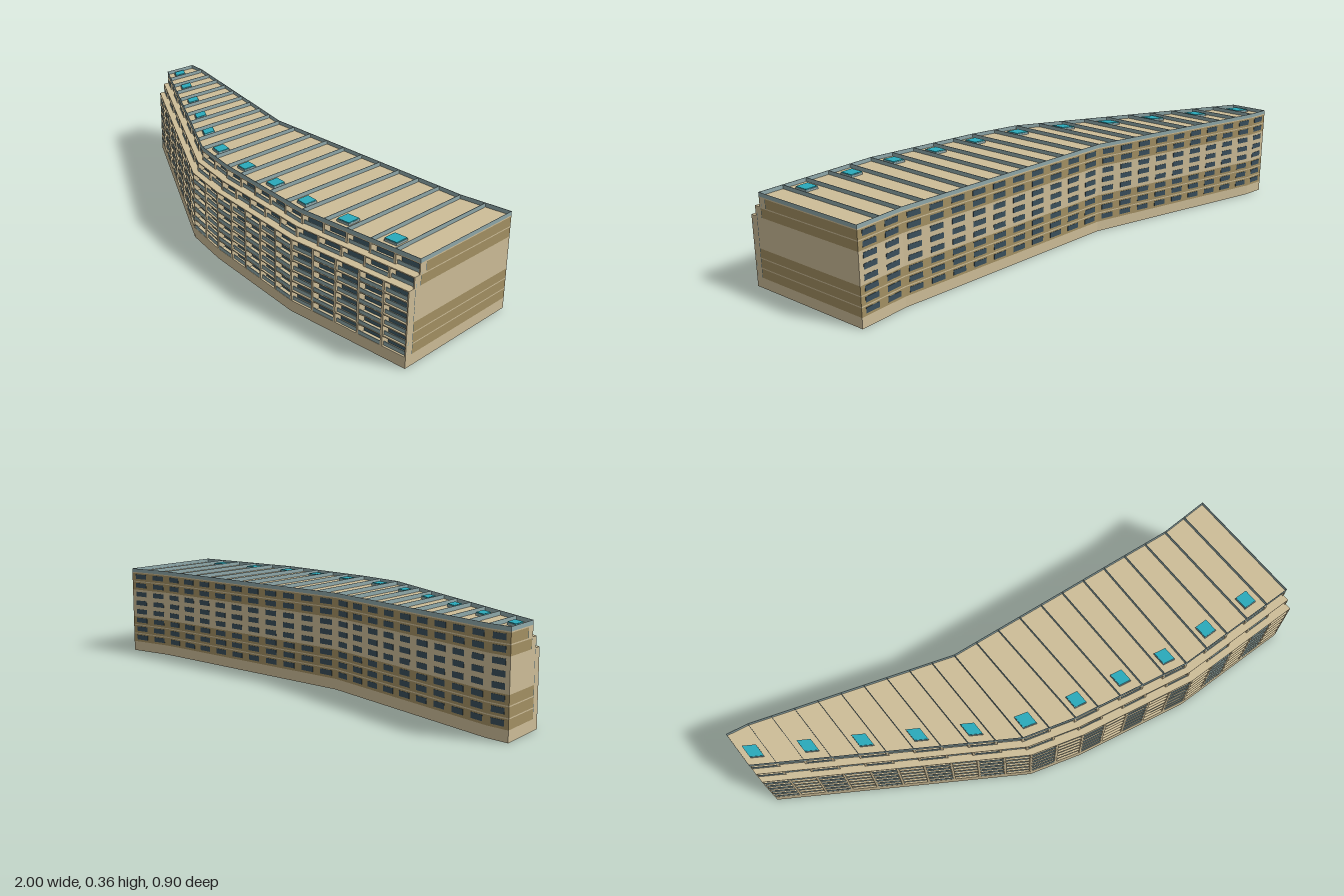
import * as THREE from 'three';
import { mergeGeometries } from 'three/addons/utils/BufferGeometryUtils.js';

const UNITS = 22, STOREYS = 8, BASE = 0.04, EAVES = 0.345, TOP = 0.36;
const PITCH = (EAVES - BASE) / STOREYS, SLAB = 0.004, RECESS = 0.03;
const lerp = THREE.MathUtils.lerp;

// Plan of the bent block: [unit boundary, x, z]
const FRONT = [[0, -1, -0.25], [10, -0.16, 0.285], [12, 0.04, 0.345], [17, 0.5, 0.437], [22, 1, 0.45]];
const BACK = [[0, -1, -0.45], [1, -0.916, -0.435], [10, -0.16, -0.18], [20, 0.8, -0.078], [22, 1, -0.083]];

function along(path, u) {
  let k = 0;
  while (k < path.length - 2 && u > path[k + 1][0]) k++;
  const [a, b] = [path[k], path[k + 1]], t = (u - a[0]) / (b[0] - a[0]);
  return [lerp(a[1], b[1], t), lerp(a[2], b[2], t)];
}
const frontLine = d => u => { const [x, z] = along(FRONT, u); return [x, z - d]; };
const backLine = d => u => { const [x, z] = along(BACK, u); return [x, z + d]; };

// Box bent onto the plan: from u0 to u1 along it, between two lines, y0 to y1
function block(u0, u1, back, front, y0, y1) {
  const g = new THREE.BoxGeometry(1, 1, 1), p = g.attributes.position;
  for (let i = 0; i < p.count; i++) {
    const u = p.getX(i) > 0 ? u1 : u0;
    const [x, z] = (p.getZ(i) > 0 ? front : back)(u);
    p.setXYZ(i, x, p.getY(i) > 0 ? y1 : y0, z);
  }
  g.computeVertexNormals();
  return g;
}

// Each storey's setback from the front line
const setback = s => (s < 6 ? 0 : s === 6 ? 0.025 : 0.05);

export function createModel() {
  const group = new THREE.Group();
  const colors = {
    groundFloorWalls: 0xcdbd98, lightStoreys: 0xcdbd98, darkStoreys: 0xa39063, floorSlabs: 0xcdbd98,
    partyWalls: 0xcdbd98, frontGlazing: 0x3f5b68, balconyRailings: 0x8fa8aa, backWindows: 0x3a4f5c,
    roofParapets: 0x8fa8aa, skylightFrames: 0x8fa8aa, skylights: 0x2aaabb,
  };
  const parts = Object.fromEntries(Object.keys(colors).map(n => [n, []]));
  const add = (name, ...args) => parts[name].push(block(...args));

  for (let i = 0; i < UNITS; i++) {
    // Ground floor: front and back walls, open underneath
    add('groundFloorWalls', i, i + 1, frontLine(0.004), frontLine(0), 0, BASE);
    add('groundFloorWalls', i, i + 1, backLine(0), backLine(0.004), 0, BASE);

    for (let s = 0; s < STOREYS; s++) {
      const y = BASE + s * PITCH, yTop = y + PITCH, d = setback(s);
      // Storey body, and the slab below it that also forms the balcony
      add(s < 3 || s > 5 ? 'darkStoreys' : 'lightStoreys', i, i + 1,
        backLine(0), frontLine(d + RECESS + 0.002), y, yTop - SLAB);
      add('floorSlabs', i, i + 1, backLine(0), frontLine(setback(Math.max(s - 1, 0))), y - SLAB, y);
      // Recessed glazing and balcony railing, inset on every other unit
      add('frontGlazing', i, i + 1, frontLine(d + RECESS + 0.002), frontLine(d + RECESS), y, yTop - SLAB);
      const r = d + (i % 2 ? 0.008 : 0.001);
      add('balconyRailings', i, i + 1, frontLine(r + 0.003), frontLine(r), y, y + 0.013);
      // Back window
      add('backWindows', i + 0.2, i + 0.8, backLine(-0.001), backLine(0.001), y + 0.009, y + 0.029);
    }

    // Flat roof with front and back parapets
    const roofFront = setback(STOREYS - 1);
    add('floorSlabs', i, i + 1, backLine(0), frontLine(roofFront), EAVES - SLAB, EAVES);
    add('roofParapets', i, i + 1, frontLine(roofFront + 0.002), frontLine(roofFront), EAVES, TOP);
    add('roofParapets', i, i + 1, backLine(0), backLine(0.002), EAVES, TOP);

    // Skylight on every other unit
    if (i % 2 === 0) {
      add('skylightFrames', i + 0.24, i + 0.76, frontLine(0.143), frontLine(0.087), EAVES, 0.353);
      add('skylights', i + 0.25, i + 0.75, frontLine(0.141), frontLine(0.089), 0.353, 0.356);
    }
  }

  // Cross walls between units: ground floor, balcony fins and roof upstands
  for (let i = 0; i <= UNITS; i++) {
    const wall = w => [Math.max(0, i - w), Math.min(UNITS, i + w)];
    add('groundFloorWalls', ...wall(0.02), backLine(0.004), frontLine(0.004), 0, BASE - SLAB);
    for (let s = 0; s < STOREYS; s++) {
      const y = BASE + s * PITCH, d = setback(s);
      add('partyWalls', ...wall(0.045), frontLine(d + RECESS), frontLine(d), y, y + PITCH - SLAB);
    }
    add('roofParapets', ...wall(0.01), backLine(0.002), frontLine(0.052), EAVES, TOP);
  }

  for (const [name, geos] of Object.entries(parts)) {
    const mesh = new THREE.Mesh(mergeGeometries(geos), new THREE.MeshStandardMaterial({ color: colors[name] }));
    mesh.name = name;
    group.add(mesh);
  }
  return group;
}
